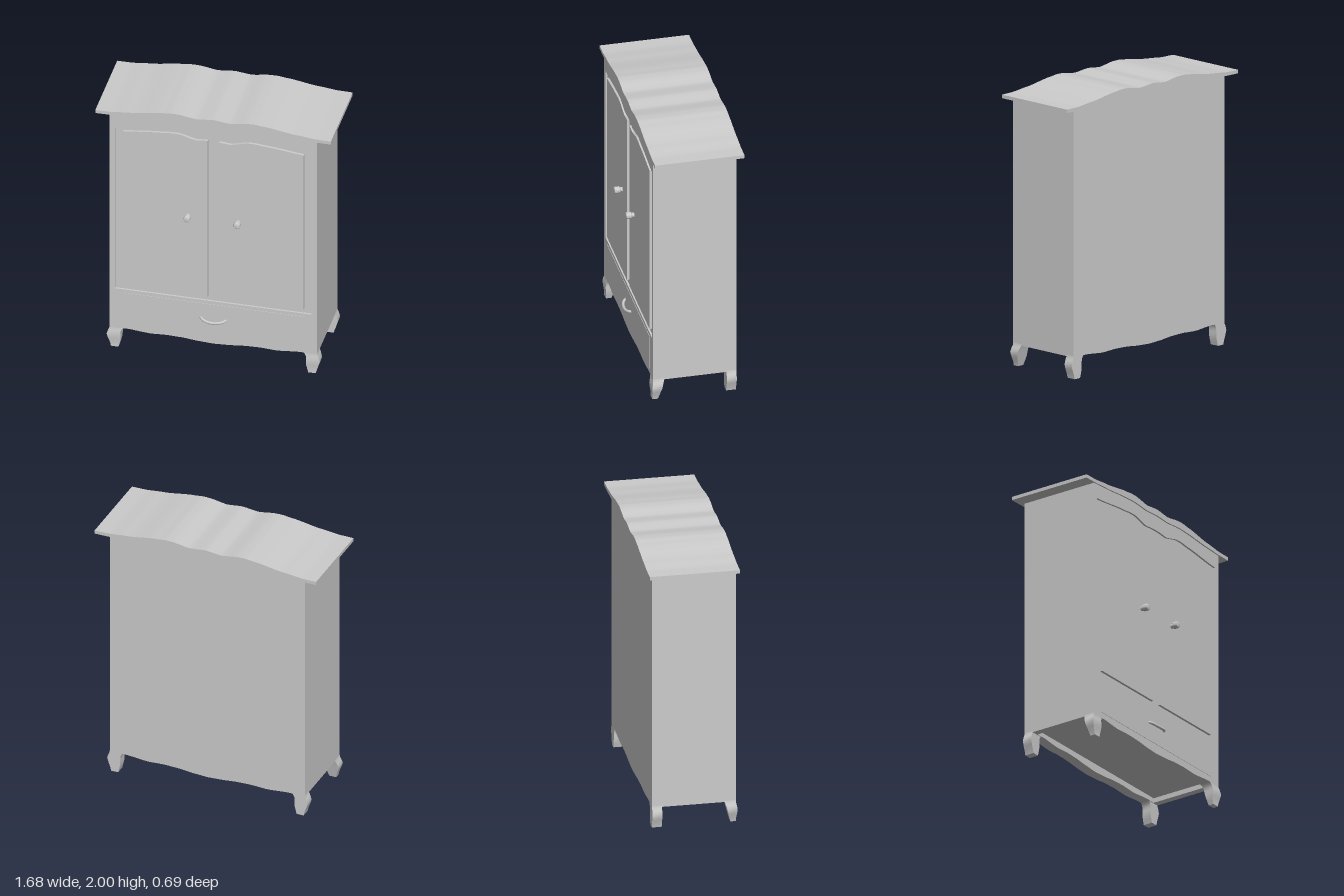
import * as THREE from 'three';
import { toCreasedNormals } from 'three/addons/utils/BufferGeometryUtils.js';

const material = new THREE.MeshStandardMaterial({ color: 0xcccccc });

// Height keys over |x|, for symmetrical wavy edges
const ROOF = [[0, 0.86], [0.12, 0.64], [0.25, 0.98], [0.3, 1], [0.37, 0.86], [0.6, 0.27], [0.74, 0.02], [0.84, 0]];
const DOOR = [[0, 0.45], [0.05, 0.41], [0.12, 0.25], [0.25, 0.98], [0.3, 0.98], [0.37, 0.8], [0.7, 0]];
const APRON = [[0, 0.13], [0.1, 0.135], [0.23, 0.147], [0.33, 0.15], [0.45, 0.144], [0.62, 0.158], [0.66, 0.155], [0.74, 0.155]];

function wave(keys, x) {
  const a = Math.abs(x);
  let i = 0;
  while (i < keys.length - 2 && a > keys[i + 1][0]) i++;
  const [[xa, ya], [xb, yb]] = [keys[i], keys[i + 1]];
  const t = Math.min((a - xa) / (xb - xa), 1);
  const s = (t + t * t * (3 - 2 * t)) / 2;
  return ya + (yb - ya) * s;
}

// Closed outline between a lower and an upper edge, counter-clockwise
function outline(x0, x1, low, high, n = 64) {
  const points = [];
  for (let i = 0; i <= n; i++) {
    const x = x0 + (x1 - x0) * i / n;
    points.push(new THREE.Vector2(x, low(x)));
  }
  for (let i = n; i >= 0; i--) {
    const x = x0 + (x1 - x0) * i / n;
    points.push(new THREE.Vector2(x, high(x)));
  }
  return points;
}

function slab(points, z0, z1, hole) {
  const shape = new THREE.Shape(points);
  if (hole) shape.holes.push(new THREE.Path(hole));
  const geometry = new THREE.ExtrudeGeometry(shape, { depth: z1 - z0, bevelEnabled: false });
  geometry.translate(0, 0, z0);
  return toCreasedNormals(geometry, 0.5);
}

// Leg sections: y, outer x, inner x, front z, back z
const FRONT_LEG = [
  [0, 0.73, 0.677, 0.285, 0.245], [0.03, 0.737, 0.669, 0.284, 0.237], [0.065, 0.75, 0.661, 0.288, 0.228],
  [0.1, 0.76, 0.661, 0.291, 0.219], [0.13, 0.751, 0.66, 0.286, 0.211], [0.15, 0.742, 0.65, 0.282, 0.204],
  [0.165, 0.74, 0.64, 0.282, 0.2],
];
const BACK_LEG = FRONT_LEG.map(([y, outer, inner]) => [y, outer, inner, -0.24, -0.31]);

function leg(rings, side) {
  const geometry = new THREE.BoxGeometry(1, 1, 1, 1, rings.length - 1, 1);
  const p = geometry.attributes.position;
  for (let i = 0; i < p.count; i++) {
    const [y, outer, inner, front, back] = rings[Math.round((p.getY(i) + 0.5) * (rings.length - 1))];
    const x = p.getX(i) * side > 0 ? outer : inner;
    p.setXYZ(i, x * side, y, p.getZ(i) > 0 ? front : back);
  }
  return toCreasedNormals(geometry, 0.6);
}

export function createModel() {
  const group = new THREE.Group();
  const add = (name, geometry) => {
    const mesh = new THREE.Mesh(geometry, material);
    mesh.name = name;
    group.add(mesh);
    return mesh;
  };

  // Carcass: front with a recess for the doors, core, and wavy back board
  const apron = x => wave(APRON, x);
  const underRoof = x => 1.92 + 0.03 * wave(ROOF, x);
  const body = outline(-0.74, 0.74, apron, underRoof);
  const recess = outline(-0.7, 0.7, () => 0.48, x => 1.817 + 0.042 * wave(DOOR, x));
  add('frontFrame', slab(body, 0.268, 0.282, recess));
  add('frontPanel', slab(body, 0.2, 0.268));
  add('core', slab(outline(-0.74, 0.74, () => 0.19, underRoof), -0.235, 0.2));
  add('backPanel', slab(body, -0.31, -0.235));

  // Wavy overhanging roof
  add('roof', slab(outline(-0.84, 0.84, underRoof, x => 1.945 + 0.055 * wave(ROOF, x), 112), -0.345, 0.292));

  // Drawer front
  add('drawerFront', new THREE.BoxGeometry(1.29, 0.255, 0.02)).position.set(0, 0.327, 0.275);

  // Curved drawer pull
  const pull = new THREE.CatmullRomCurve3([
    [-0.09, 0.336, 0.28], [-0.075, 0.331, 0.298], [-0.04, 0.323, 0.311], [0, 0.32, 0.315],
    [0.04, 0.323, 0.311], [0.075, 0.331, 0.298], [0.09, 0.336, 0.28],
  ].map(q => new THREE.Vector3(...q)));
  add('drawerPull', new THREE.TubeGeometry(pull, 32, 0.01, 10));

  // Knob profile: radius, distance from the door
  const knobProfile = [[0.017, 0], [0.017, 0.018], [0.024, 0.024], [0.025, 0.05], [0.022, 0.058], [0.015, 0.061], [0, 0.061]]
    .map(([r, d]) => new THREE.Vector2(r, d));

  for (const side of [-1, 1]) {
    const name = side > 0 ? 'left' : 'right';
    // Raised door panel with an arched top
    const [x0, x1] = side > 0 ? [0.04, 0.645] : [-0.645, -0.04];
    add(name + 'Door', slab(outline(x0, x1, () => 0.517, x => 1.791 + 0.042 * wave(DOOR, x), 40), 0.262, 0.286));

    const knob = add(name + 'Knob', toCreasedNormals(new THREE.LatheGeometry(knobProfile, 20), 0.6));
    knob.rotation.x = Math.PI / 2;
    knob.position.set(0.178 * side, 1.168, 0.284);

    // Rail under the side and the two legs
    add(name + 'Rail', new THREE.BoxGeometry(0.05, 0.035, 0.435)).position.set(0.715 * side, 0.1725, -0.0175);
    add(name + 'FrontLeg', leg(FRONT_LEG, side));
    add(name + 'BackLeg', leg(BACK_LEG, side));
  }
  return group;
}
